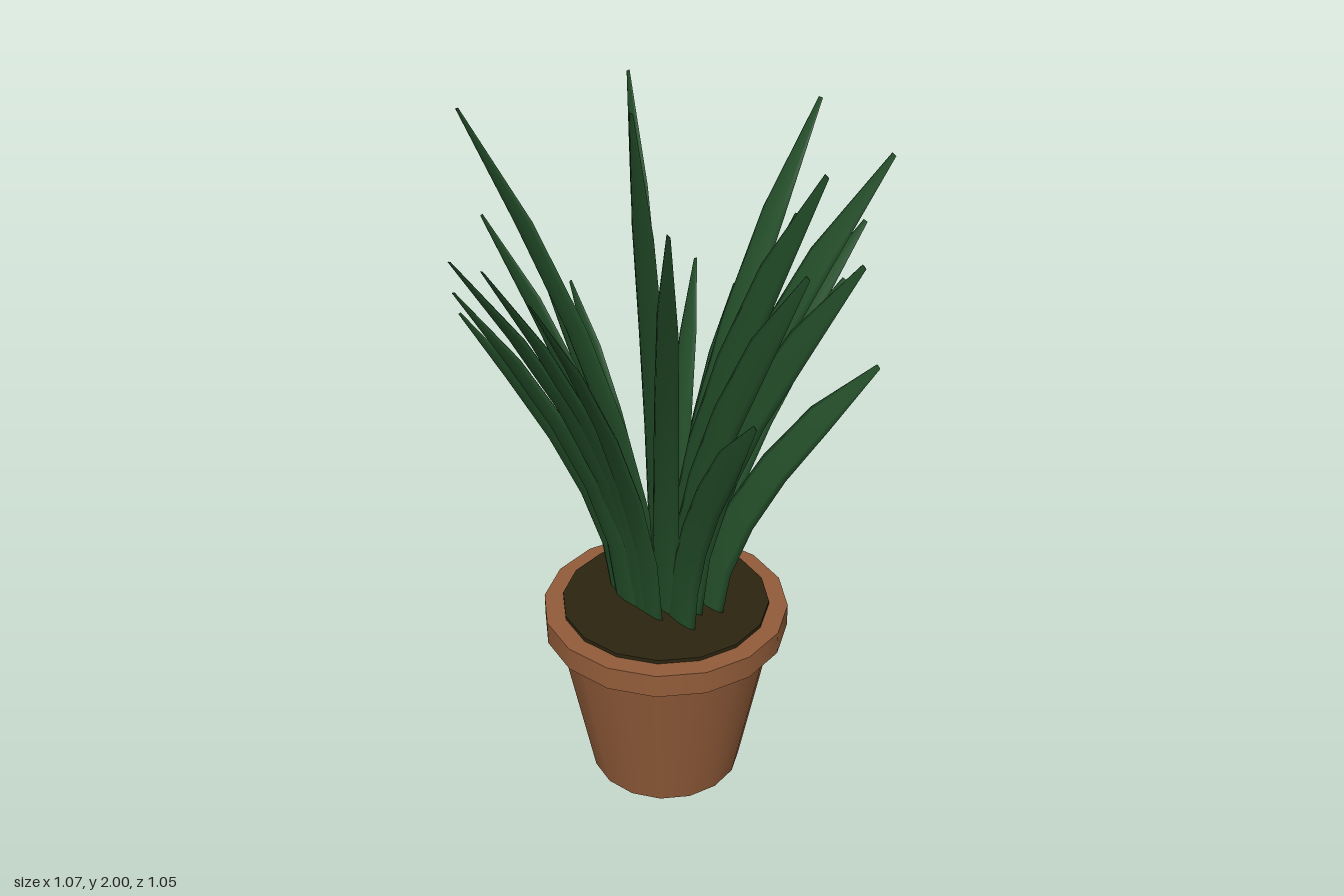
import * as THREE from 'three';

const CENTRE_X = -0.015;
const SIDES = 8;

// leaf tips: x, y, z
const TIPS = [
  [-0.09, 1.51, -0.53], [-0.26, 1.27, -0.47], [-0.36, 1.33, -0.41], [-0.475, 1.86, -0.27],
  [-0.52, 1.3, -0.09], [-0.53, 1.42, 0.02], [-0.5, 1.57, 0.2], [-0.465, 1.34, 0.31],
  [-0.375, 1.9, 0.33], [-0.31, 1.48, 0.42], [-0.155, 1.635, 0.52], [-0.04, 1.645, 0.51],
  [0.15, 1.63, 0.52], [0.18, 2, 0.26], [0.385, 1.81, 0.335], [0.5, 1.36, 0.185],
  [0.527, 1.69, 0.07], [0.5, 1.89, 0], [0.515, 1.66, -0.12], [0.435, 1.33, -0.29],
  [0.36, 1.82, -0.375], [0.205, 1.59, -0.47], [0.1, 1.385, -0.523], [0.025, 1.86, -0.477],
];

// half widths from root to tip; the last ring closes the point
const WIDTHS = [0.054, 0.053, 0.051, 0.047, 0.039, 0.007, 0];

// flattened, outward-bending blade swept from the soil to its tip
function leafGeometry([tx, ty, tz]) {
  const dx = tx - CENTRE_X;
  const reach = Math.hypot(dx, tz);
  const angle = Math.atan2(tz, dx);
  // short leaves grow on the outside, tall ones near the middle
  const root = THREE.MathUtils.mapLinear(THREE.MathUtils.clamp(ty, 1.3, 1.95), 1.3, 1.95, 0.125, 0.035);
  const y0 = 0.52;
  const point = (t) => {
    const r = root + (reach - root) * Math.pow(t, 1.75);
    return new THREE.Vector3(CENTRE_X + r * Math.cos(angle), y0 + (ty - y0) * t, r * Math.sin(angle));
  };
  const zAxis = new THREE.Vector3(0, 0, 1);
  const positions = [];
  const index = [];
  WIDTHS.forEach((w, i) => {
    const t = Math.min(i / 5, 1);
    const c = point(t);
    const tangent = point(Math.min(t + 0.1, 1)).sub(point(Math.max(t - 0.1, 0))).normalize();
    const wide = tangent.clone().cross(zAxis).normalize();
    const deep = tangent.clone().cross(wide);
    for (let j = 0; j < SIDES; j++) {
      const a = (j / SIDES) * Math.PI * 2;
      const p = c.clone()
        .addScaledVector(wide, w * Math.cos(a))
        .addScaledVector(deep, w * 0.22 * Math.sin(a));
      positions.push(p.x, p.y, p.z);
      if (i < WIDTHS.length - 1) {
        const k = (j + 1) % SIDES;
        const lo = i * SIDES, hi = lo + SIDES;
        index.push(lo + j, lo + k, hi + k, lo + j, hi + k, hi + j);
      }
    }
  });
  const g = new THREE.BufferGeometry();
  g.setAttribute('position', new THREE.Float32BufferAttribute(positions, 3));
  g.setIndex(index);
  g.computeVertexNormals();
  return g;
}

export function createModel() {
  const model = new THREE.Group();
  model.name = 'pottedPlant';
  const material = (name, color) => {
    const m = new THREE.MeshStandardMaterial({ color });
    m.name = name;
    return m;
  };
  const terracotta = material('terracotta', 0x935d3a);
  const earth = material('earth', 0x2b2410);
  const green = material('leafGreen', 0x234e29);

  // pot, rim and soil are stacked round sections
  const round = (name, top, bottom, y0, y1, mat) => {
    const mesh = new THREE.Mesh(new THREE.CylinderGeometry(top, bottom, y1 - y0, 16), mat);
    mesh.name = name;
    mesh.position.set(CENTRE_X, (y0 + y1) / 2, 0);
    model.add(mesh);
  };
  round('potBody', 0.305, 0.213, 0, 0.48, terracotta);
  round('potRim', 0.337, 0.337, 0.468, 0.535, terracotta);
  round('soil', 0.285, 0.285, 0.5, 0.546, earth);

  const leaves = new THREE.Group();
  leaves.name = 'leaves';
  TIPS.forEach((tip) => {
    const leaf = new THREE.Mesh(leafGeometry(tip), green);
    leaf.name = 'leaf';
    leaves.add(leaf);
  });
  model.add(leaves);
  return model;
}
